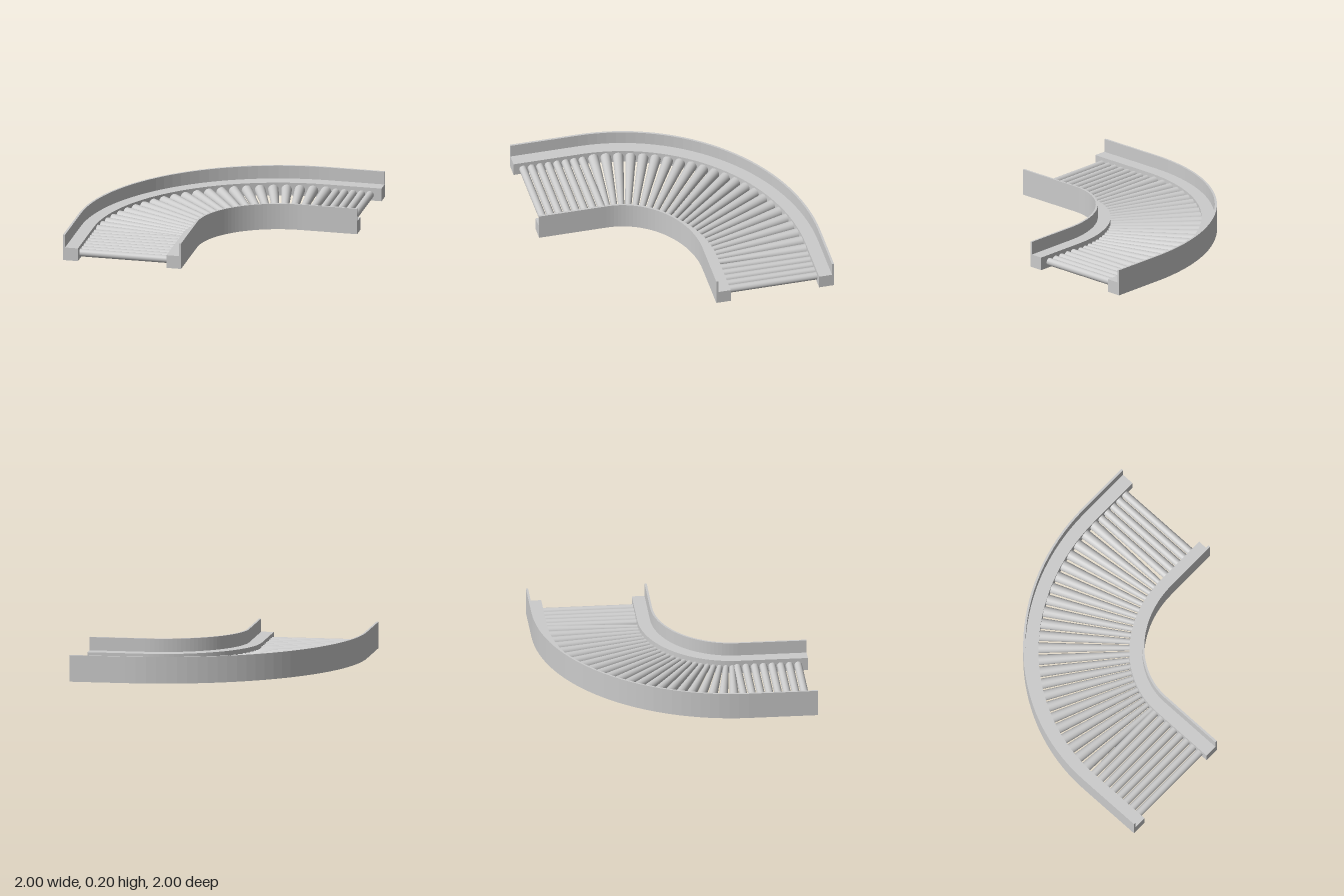
import * as THREE from 'three';

const CX = 0.575, CZ = 0.48;      // centre of the bend
const INNER_GAP = 0.112, OUTER_GAP = 0.797; // bed between the rails, measured from the outer edge
const AXIS_Y = 0.045;

// Point in the bend at angle t (0 = left straight, PI/2 = back straight), d inward from the outer edge
const bend = (t, d, y) => new THREE.Vector3(
  CX - (CX + 1 - d) * Math.cos(t), y, CZ - (CZ + 1 - d) * Math.sin(t));

// Sweep an L-shaped section (counter-clockwise [d, y] points) along the whole track
function railGeometry(section) {
  const rings = [section.map(([d, y]) => new THREE.Vector3(-1 + d, y, 1))];
  const steps = 32;
  for (let i = 0; i <= steps; i++) {
    rings.push(section.map(([d, y]) => bend((i / steps) * Math.PI / 2, d, y)));
  }
  rings.push(section.map(([d, y]) => new THREE.Vector3(1, y, -1 + d)));

  const points = [];
  const n = section.length;
  for (let r = 0; r < rings.length - 1; r++) {
    const s = rings[r], e = rings[r + 1];
    for (let i = 0; i < n; i++) {
      const j = (i + 1) % n;
      points.push(s[i], e[j], s[j], s[i], e[i], e[j]);
    }
  }
  // End caps
  const caps = THREE.ShapeUtils.triangulateShape(section.map(([d, y]) => new THREE.Vector2(d, y)), []);
  const last = rings[rings.length - 1];
  for (const [a, b, c] of caps) {
    points.push(rings[0][a], rings[0][b], rings[0][c], last[a], last[c], last[b]);
  }
  const geometry = new THREE.BufferGeometry().setFromPoints(points);
  geometry.computeVertexNormals();
  return geometry;
}

export function createModel() {
  const model = new THREE.Group();
  model.name = 'curvedRollerConveyor';
  const railMaterial = new THREE.MeshStandardMaterial({ color: 0xcccccc, flatShading: true });
  const rollerMaterial = new THREE.MeshStandardMaterial({ color: 0xcccccc });

  // Side rails: low ledge with a thin guard wall on the outside
  const rails = {
    outerRail: [[0, 0], [0.115, 0], [0.115, 0.1], [0.016, 0.1], [0.016, 0.2], [0, 0.2]],
    innerRail: [[0.795, 0], [0.907, 0], [0.907, 0.2], [0.891, 0.2], [0.891, 0.1], [0.795, 0.1]],
  };
  for (const [name, section] of Object.entries(rails)) {
    const rail = new THREE.Mesh(railGeometry(section), railMaterial);
    rail.name = name;
    model.add(rail);
  }

  // Rollers
  const up = new THREE.Vector3(0, 1, 0);
  const rollers = new THREE.Group();
  rollers.name = 'rollers';
  model.add(rollers);
  function addRoller(name, outer, inner, outerRadius, innerRadius) {
    const axis = inner.clone().sub(outer);
    const roller = new THREE.Mesh(
      new THREE.CylinderGeometry(innerRadius, outerRadius, axis.length(), 20), rollerMaterial);
    roller.name = name;
    roller.position.copy(outer).add(inner).multiplyScalar(0.5);
    roller.quaternion.setFromUnitVectors(up, axis.normalize());
    rollers.add(roller);
  }

  const pitch = 0.0653;
  // Straight rollers at the front end
  for (let i = 0; i < 8; i++) {
    const z = 0.928 - i * pitch;
    addRoller('straightRoller', new THREE.Vector3(-1 + INNER_GAP, AXIS_Y, z),
      new THREE.Vector3(-1 + OUTER_GAP, AXIS_Y, z), 0.029, 0.029);
  }
  // Tapered rollers around the bend
  const count = 23;
  for (let i = 1; i <= count; i++) {
    const t = (i / count) * Math.PI / 2;
    addRoller('taperedRoller', bend(t, INNER_GAP, AXIS_Y), bend(t, OUTER_GAP, AXIS_Y), 0.04, 0.021);
  }
  // Straight rollers at the side end
  for (let i = 0; i < 5; i++) {
    const x = 0.912 - i * pitch;
    addRoller('straightRoller', new THREE.Vector3(x, AXIS_Y, -1 + INNER_GAP),
      new THREE.Vector3(x, AXIS_Y, -1 + OUTER_GAP), 0.029, 0.029);
  }
  return model;
}
